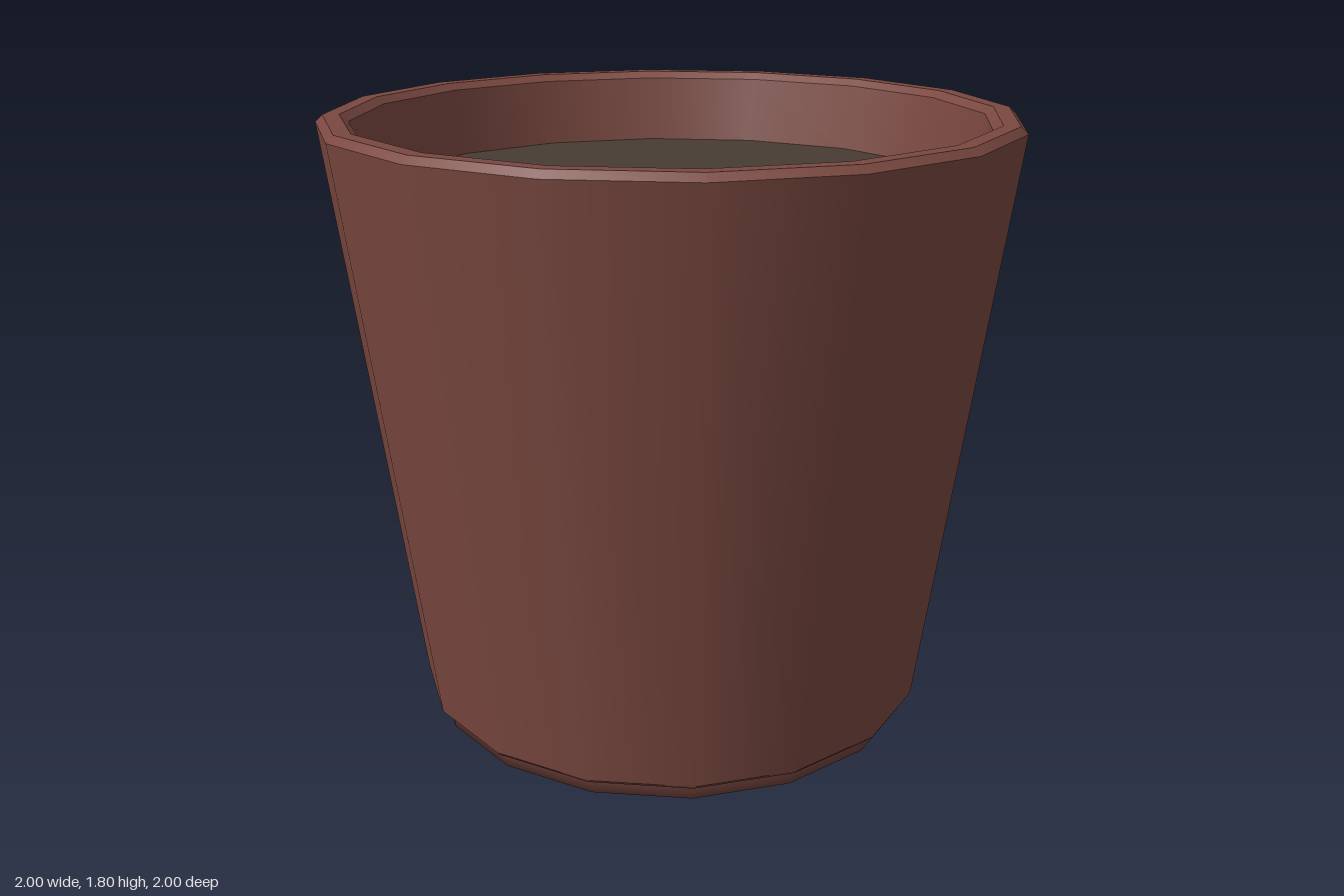
import * as THREE from 'three';
import { mergeGeometries } from 'three/addons/utils/BufferGeometryUtils.js';

const SIDES = 16;
const TURN = THREE.MathUtils.degToRad(7); // slight twist of the polygon

// Smooth surface of revolution through [radius, height] points
const lathe = (points) =>
  new THREE.LatheGeometry(points.map(([r, y]) => new THREE.Vector2(r, y)), SIDES, TURN);

// Same, but with a sharp edge at every profile point
const creasedLathe = (points) =>
  mergeGeometries(points.slice(1).map((p, i) => lathe([points[i], p])));

export function createModel() {
  const clay = new THREE.MeshStandardMaterial({ name: 'clay', color: 0x7a4840 });
  const earth = new THREE.MeshStandardMaterial({ name: 'earth', color: 0x483c32 });

  const group = new THREE.Group();
  group.name = 'flowerPot';
  const add = (name, geometry, material) => {
    const mesh = new THREE.Mesh(geometry, material);
    mesh.name = name;
    group.add(mesh);
  };

  // Foot with a softly shaded underside
  add('foot', lathe([[0, 0], [0.732, 0], [0.732, 0.055]]), clay);

  // Tapered wall with a bevelled lower edge
  add('wall', creasedLathe([[0.72, 0.048], [0.758, 0.048], [0.769, 0.06], [1.006, 1.78]]), clay);

  // Bevelled rim and the inside down to the soil
  add('rim', creasedLathe([
    [1.006, 1.78], [0.985, 1.8], [0.938, 1.8], [0.914, 1.78], [0.874, 1.57],
  ]), clay);

  // Soil surface
  add('soil', lathe([[0.876, 1.58], [0, 1.58]]), earth);

  return group;
}
